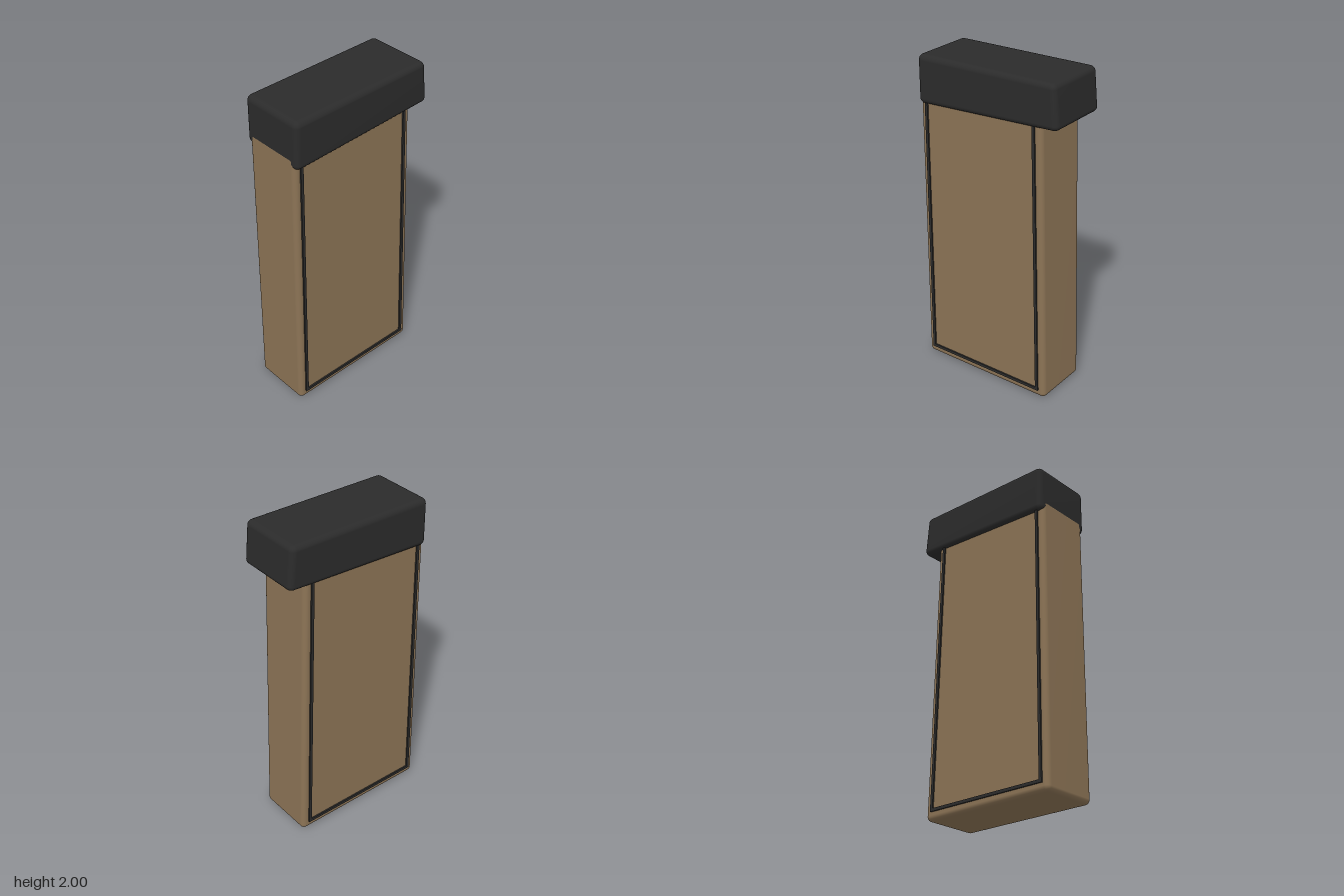
import * as THREE from 'three';
import { RoundedBoxGeometry } from 'three/addons/geometries/RoundedBoxGeometry.js';
import { mergeVertices } from 'three/addons/utils/BufferGeometryUtils.js';

// Rounded block whose side profile is a quad; corners are [z, y]
function roundedQuad(width, radius, { frontLow, frontHigh, backLow, backHigh }) {
  const depth = frontLow[0] - backLow[0];
  const height = frontHigh[1] - frontLow[1];
  let geo = new RoundedBoxGeometry(width, height, depth, 4, radius);
  geo.deleteAttribute('uv');
  geo.deleteAttribute('normal');
  const p = geo.attributes.position;
  const mix = THREE.MathUtils.lerp;
  for (let i = 0; i < p.count; i++) {
    const u = p.getZ(i) / depth + 0.5;
    const v = p.getY(i) / height + 0.5;
    const at = (k) => mix(mix(backLow[k], backHigh[k], v), mix(frontLow[k], frontHigh[k], v), u);
    p.setXYZ(i, p.getX(i), at(1), at(0));
  }
  geo = mergeVertices(geo, 1e-4);
  geo.computeVertexNormals();
  return geo;
}

export function createModel() {
  const model = new THREE.Group();
  model.name = 'cappedCase';
  const tan = new THREE.MeshStandardMaterial({ name: 'tan', color: 0x8b7355 });
  const charcoal = new THREE.MeshStandardMaterial({ name: 'charcoal', color: 0x2b2b2b });

  const add = (name, geo, material) => {
    const mesh = new THREE.Mesh(geo, material);
    mesh.name = name;
    model.add(mesh);
    return mesh;
  };

  // Tapered body, upright in front and leaning in at the back
  add('body', roundedQuad(0.368, 0.03, {
    frontLow: [0.4805, 0], frontHigh: [0.4805, 1.77],
    backLow: [-0.415, 0], backHigh: [-0.363, 1.77],
  }), tan);

  // Overhanging slanted cap
  add('cap', roundedQuad(0.414, 0.035, {
    frontLow: [0.48, 1.69], frontHigh: [0.48, 1.985],
    backLow: [-0.48, 1.74], backHigh: [-0.455, 2.0],
  }), charcoal);

  // Trim strips framing each side panel, listed by centre line ends [z, y]
  const strips = [
    ['frontTrim', [0.433, 0.05], [0.433, 1.76]],
    ['bottomTrim', [0.442, 0.057], [-0.372, 0.057]],
    ['backTrim', [-0.362, 0.05], [-0.313, 1.78]],
  ];
  for (const side of [-1, 1]) {
    for (const [name, a, b] of strips) {
      const dz = b[0] - a[0], dy = b[1] - a[1];
      const strip = add(name + (side > 0 ? 'Left' : 'Right'),
        new THREE.BoxGeometry(0.02, Math.hypot(dz, dy), 0.018), charcoal);
      strip.position.set(side * 0.183, (a[1] + b[1]) / 2, (a[0] + b[0]) / 2);
      strip.rotation.x = Math.atan2(dz, dy);
    }
  }
  return model;
}
